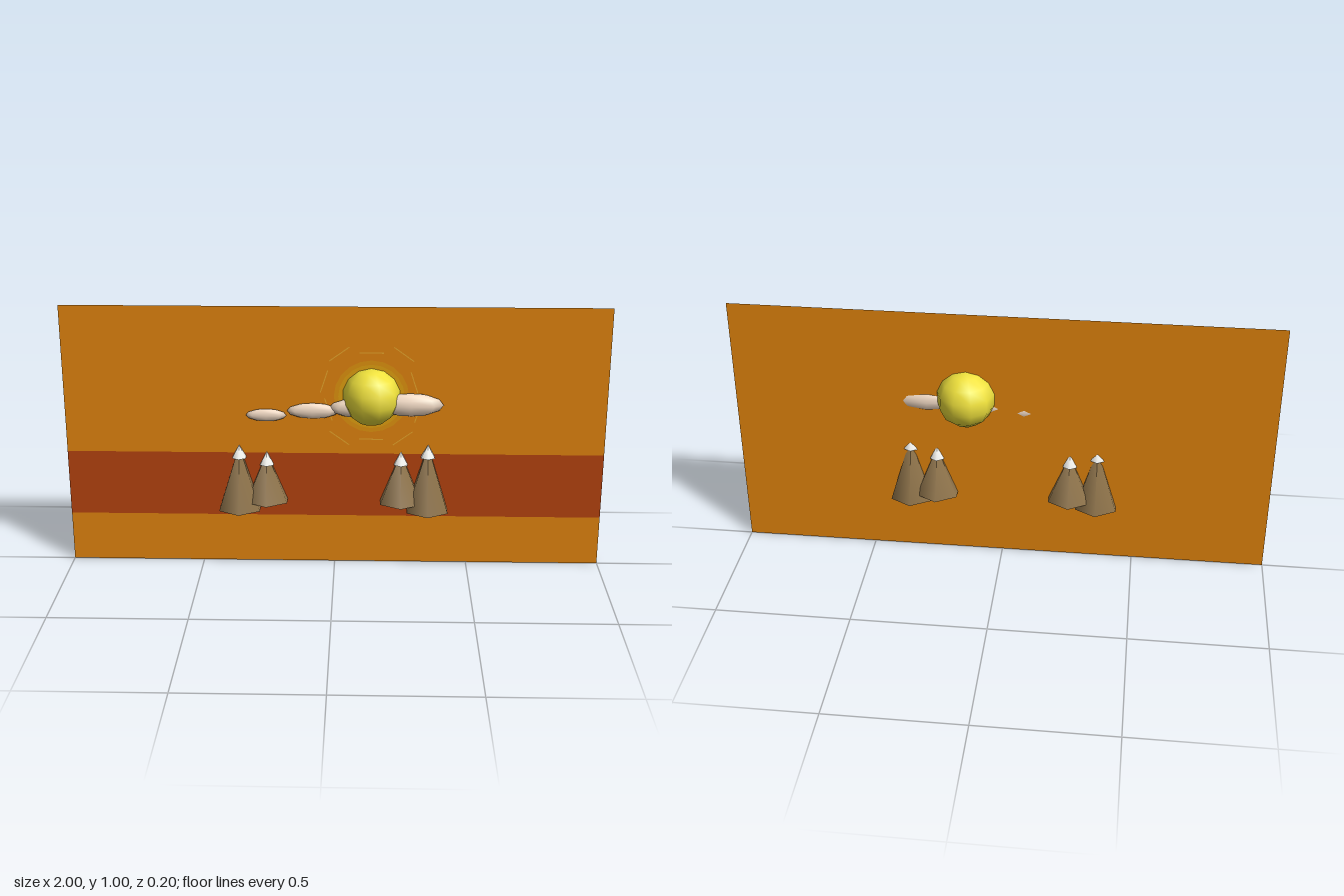
import * as THREE from 'three';

const mat = (color, side = THREE.FrontSide) => new THREE.MeshStandardMaterial({ color, side });

export function createModel() {
  const root = new THREE.Group();
  const add = (name, geometry, material, x, y, z, parent = root) => {
    const mesh = new THREE.Mesh(geometry, material);
    mesh.name = name;
    mesh.position.set(x, y, z);
    parent.add(mesh);
    return mesh;
  };

  // Sky panel, seen from both sides, with a coloured ground band on its front
  add('skyPanel', new THREE.PlaneGeometry(2, 1), mat(0xe0830d, THREE.DoubleSide), 0, 0.5, 0);
  add('groundBand', new THREE.PlaneGeometry(2, 0.25), mat(0xb5430e), 0, 0.314, 0.001);

  // Sun with a flat halo and a broken ring of thin dashes
  const sun = new THREE.Group();
  sun.name = 'sun';
  sun.position.set(0.135, 0.662, 0);
  root.add(sun);
  add('sunBall', new THREE.SphereGeometry(0.108, 10, 7), mat(0xf0e23c), 0, 0, 0, sun);
  add('halo', new THREE.CircleGeometry(0.138, 20), mat(0xe0930d), 0, 0, 0.001, sun);
  add('innerHalo', new THREE.CircleGeometry(0.122, 20), mat(0xe2a00e), 0, 0, 0.002, sun);
  const dashMat = mat(0xe8a52a);
  const dashGeo = new THREE.PlaneGeometry(0.09, 0.004);
  const radii = [0.166, 0.2, 0.183, 0.166, 0.2];
  for (let i = 0; i < 10; i++) {
    const a = Math.PI / 2 + (i * Math.PI) / 5;
    const r = radii[i % 5];
    add('sunDash', dashGeo, dashMat, r * Math.cos(a), r * Math.sin(a), 0.002, sun).rotation.z = a - Math.PI / 2;
  }

  // Row of stretched clouds, growing towards +x: x, y, z, then half sizes
  const cloudGeo = new THREE.SphereGeometry(1, 8, 6);
  const cloudMat = mat(0xf2dac4);
  const clouds = [
    [-0.252, 0.592, 0.015, 0.075, 0.024, 0.014],
    [-0.08, 0.61, 0.016, 0.095, 0.03, 0.018],
    [0.09, 0.623, 0.018, 0.11, 0.037, 0.025],
    [0.28, 0.637, 0.02, 0.12, 0.044, 0.032],
  ];
  for (const [x, y, z, sx, sy, sz] of clouds) {
    add('cloud', cloudGeo, cloudMat, x, y, z).scale.set(sx, sy, sz);
  }

  // Six-sided mountains with snow caps: x, base, peak, z
  const rock = mat(0x8c7148);
  const snow = mat(0xeeeeea);
  const peaks = [
    [-0.355, 0.224, 0.474, 0.012],
    [-0.253, 0.255, 0.445, 0.004],
    [0.247, 0.252, 0.449, 0.004],
    [0.347, 0.222, 0.48, 0.012],
  ];
  for (const [x, base, top, z] of peaks) {
    const mountain = new THREE.Group();
    mountain.name = 'mountain';
    mountain.position.set(x, 0, z);
    root.add(mountain);
    const h = top - 0.004 - base;
    add('rock', new THREE.ConeGeometry(0.088, h, 6), rock, 0, base + h / 2, 0, mountain);
    add('snowCap', new THREE.ConeGeometry(0.029, 0.05, 6), snow, 0, top - 0.025, 0, mountain);
  }
  return root;
}
